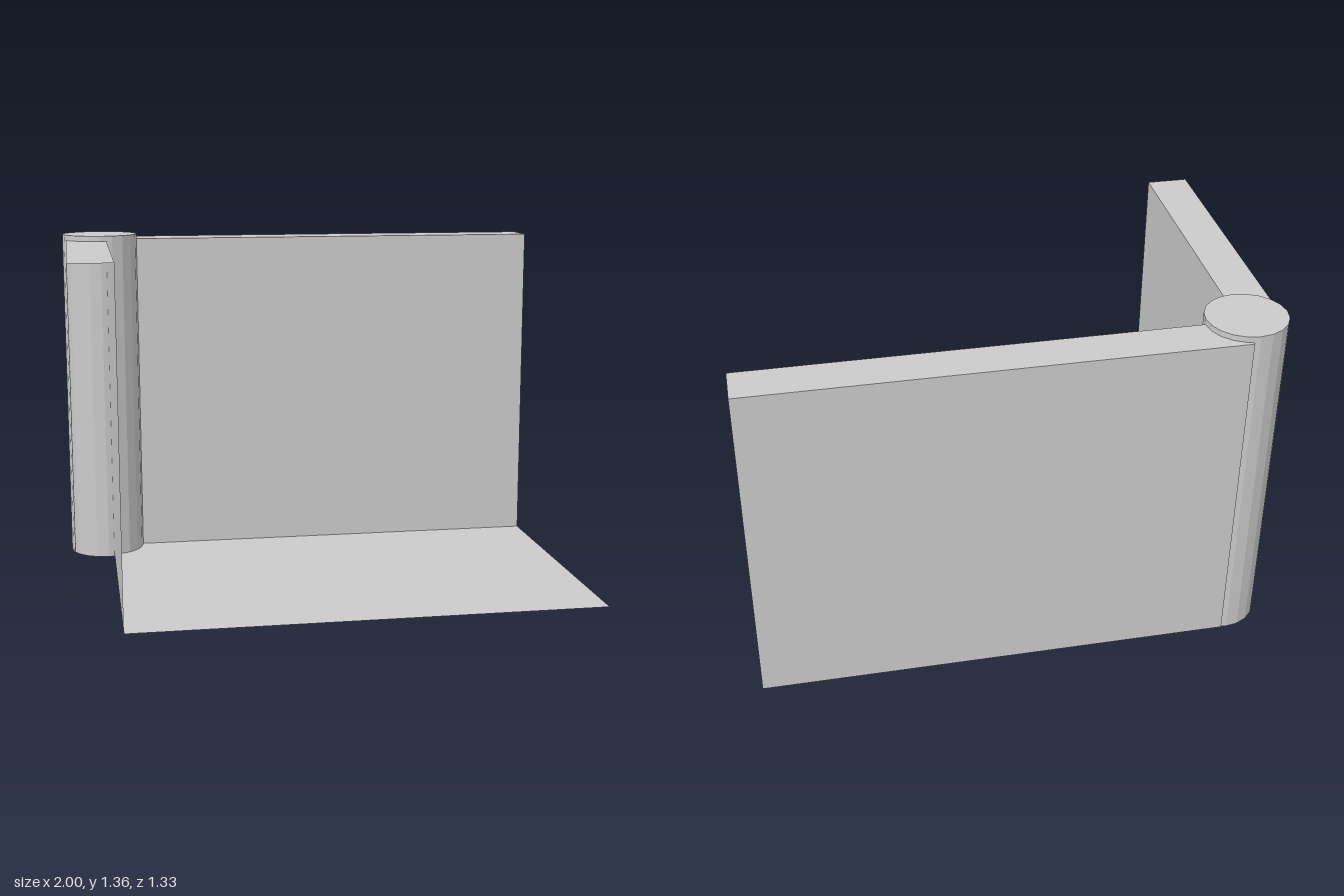
import * as THREE from 'three';

const X0 = -0.985, X1 = -0.823, X2 = 1;        // left skin outer, left skin inner, right edge
const Z0 = -0.667, Z1 = -0.505, Z2 = 0.667;    // back skin outer, back skin inner, front edge
const Y0 = 0.008, Y1 = 1.333;                  // bottom and top of the sheets

export function createModel() {
  const model = new THREE.Group();
  const sheetMaterial = new THREE.MeshStandardMaterial({
    color: 0xcccccc, side: THREE.DoubleSide, flatShading: true,
  });

  // Thin rectangle between two opposite corners that share one coordinate
  function sheet(name, parent, [ax, ay, az], [bx, by, bz]) {
    const w = bx - ax, h = by - ay, d = bz - az;
    let geometry;
    if (h === 0) geometry = new THREE.PlaneGeometry(w, d).rotateX(-Math.PI / 2);
    else if (d === 0) geometry = new THREE.PlaneGeometry(w, h);
    else geometry = new THREE.PlaneGeometry(d, h).rotateY(Math.PI / 2);
    const mesh = new THREE.Mesh(geometry, sheetMaterial);
    mesh.name = name;
    mesh.position.set((ax + bx) / 2, (ay + by) / 2, (az + bz) / 2);
    parent.add(mesh);
  }

  // Floor
  sheet('floor', model, [X1, Y0, Z1], [X2, Y0, Z2]);

  // Back wall: two skins and a top strip, open at its end and underneath
  const backWall = new THREE.Group();
  backWall.name = 'backWall';
  sheet('backInnerSkin', backWall, [X1, Y0, Z1], [X2, Y1, Z1]);
  sheet('backOuterSkin', backWall, [X1, Y0, Z0], [X2, Y1, Z0]);
  sheet('backTopStrip', backWall, [X1, Y1, Z0], [X2, Y1, Z1]);
  model.add(backWall);

  // Side wall, made the same way
  const sideWall = new THREE.Group();
  sideWall.name = 'sideWall';
  sheet('sideInnerSkin', sideWall, [X1, Y0, Z1], [X1, Y1, Z2]);
  sheet('sideOuterSkin', sideWall, [X0, Y0, Z1], [X0, Y1, Z2]);
  sheet('sideTopStrip', sideWall, [X0, Y1, Z1], [X1, Y1, Z2]);
  model.add(sideWall);

  // Round column where the walls meet
  const height = 1.355;
  const column = new THREE.Mesh(
    new THREE.CylinderGeometry(0.153, 0.153, height, 20),
    new THREE.MeshStandardMaterial({ color: 0xcccccc, flatShading: true }),
  );
  column.name = 'cornerColumn';
  column.position.set(-0.847, height / 2, Z1);
  model.add(column);

  return model;
}
